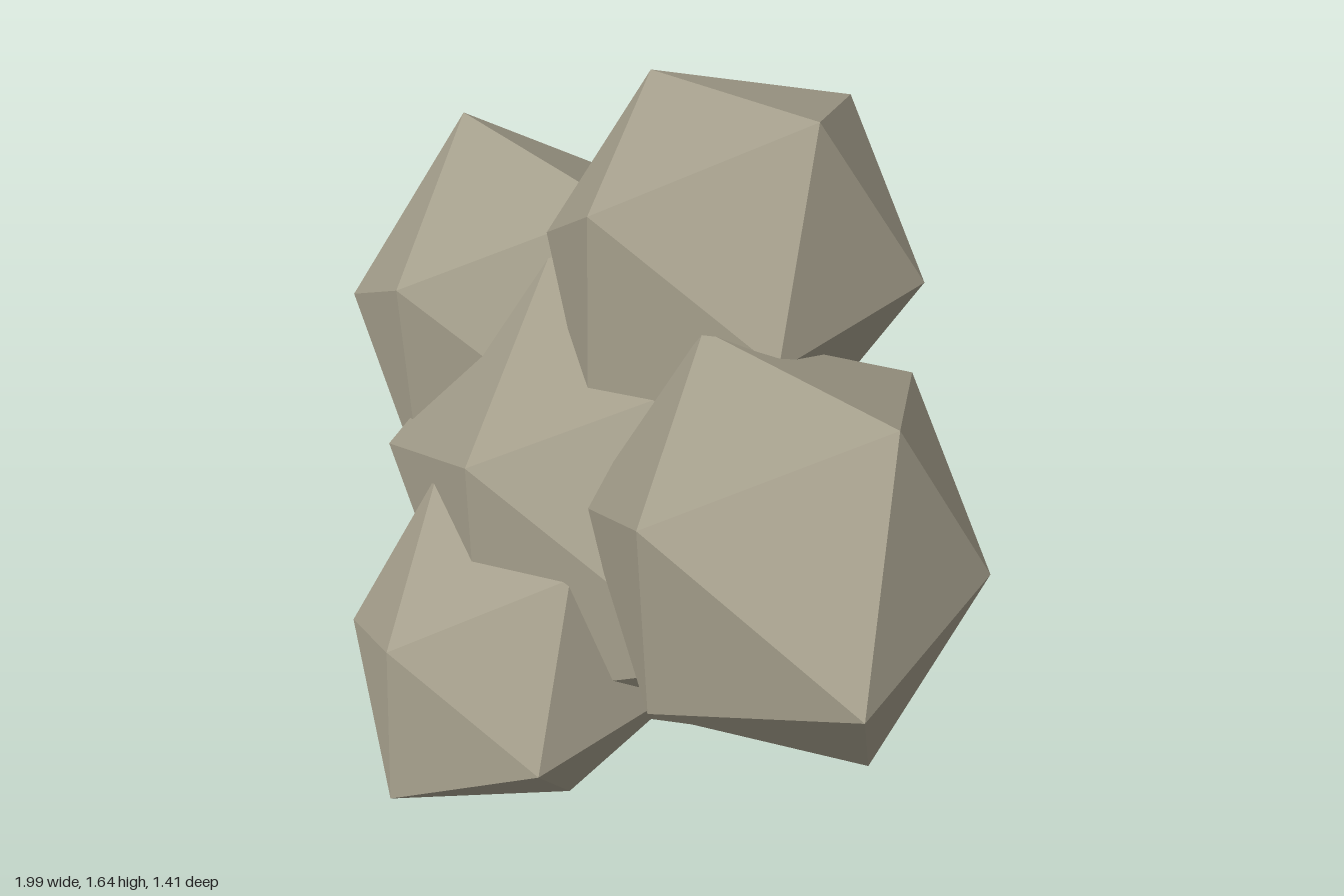
import * as THREE from 'three';

const stone = new THREE.MeshStandardMaterial({ color: 0xa59f8c, flatShading: true });
stone.name = 'warm grey stone';

// Each rock is an icosahedron whose corners are pushed in or out from its centre.
// Corner radii are grouped by the plane they lie in, with signs ordered ++, -+, +-, --.
const rocks = [
  { name: 'mainRock', at: [-0.02, 0.62, -0.13],
    xy: [0.607, 0.635, 0.687, 0.722], yz: [0.655, 0.65, 0.62, 0.67], xz: [0.65, 0.68, 0.70, 0.65] },
  { name: 'leftRock', at: [0.53, 0.865, 0.015],
    xy: [0.498, 0.48, 0.55, 0.5], yz: [0.51, 0.465, 0.465, 0.5], xz: [0.546, 0.44, 0.435, 0.46] },
  { name: 'rightRock', at: [-0.54, 0.8, -0.26],
    xy: [0.525, 0.575, 0.555, 0.512], yz: [0.545, 0.52, 0.47, 0.505], xz: [0.5, 0.54, 0.5, 0.48] },
  { name: 'topRock', at: [0.04, 1.232, -0.285],
    xy: [0.49, 0.44, 0.47, 0.46], yz: [0.476, 0.482, 0.495, 0.48], xz: [0.475, 0.41, 0.46, 0.5] },
  { name: 'frontRock', at: [-0.02, 0.373, 0.33],
    xy: [0.425, 0.457, 0.39, 0.42], yz: [0.405, 0.445, 0.42, 0.42], xz: [0.415, 0.40, 0.445, 0.435] },
];

function makeRock({ name, at, xy, yz, xz }) {
  const geometry = new THREE.IcosahedronGeometry(1, 0);
  const pos = geometry.attributes.position;
  const v = new THREE.Vector3();
  const pick = (radii, a, b) => radii[(a < 0 ? 1 : 0) + (b < 0 ? 2 : 0)];
  for (let i = 0; i < pos.count; i++) {
    v.fromBufferAttribute(pos, i);
    const radius = Math.abs(v.z) < 0.1 ? pick(xy, v.x, v.y)
      : Math.abs(v.x) < 0.1 ? pick(yz, v.y, v.z)
      : pick(xz, v.x, v.z);
    v.multiplyScalar(radius);
    pos.setXYZ(i, v.x, v.y, v.z);
  }
  geometry.computeVertexNormals();
  const mesh = new THREE.Mesh(geometry, stone);
  mesh.name = name;
  mesh.position.set(...at);
  return mesh;
}

export function createModel() {
  const group = new THREE.Group();
  group.name = 'rockCluster';
  for (const rock of rocks) group.add(makeRock(rock));
  return group;
}
